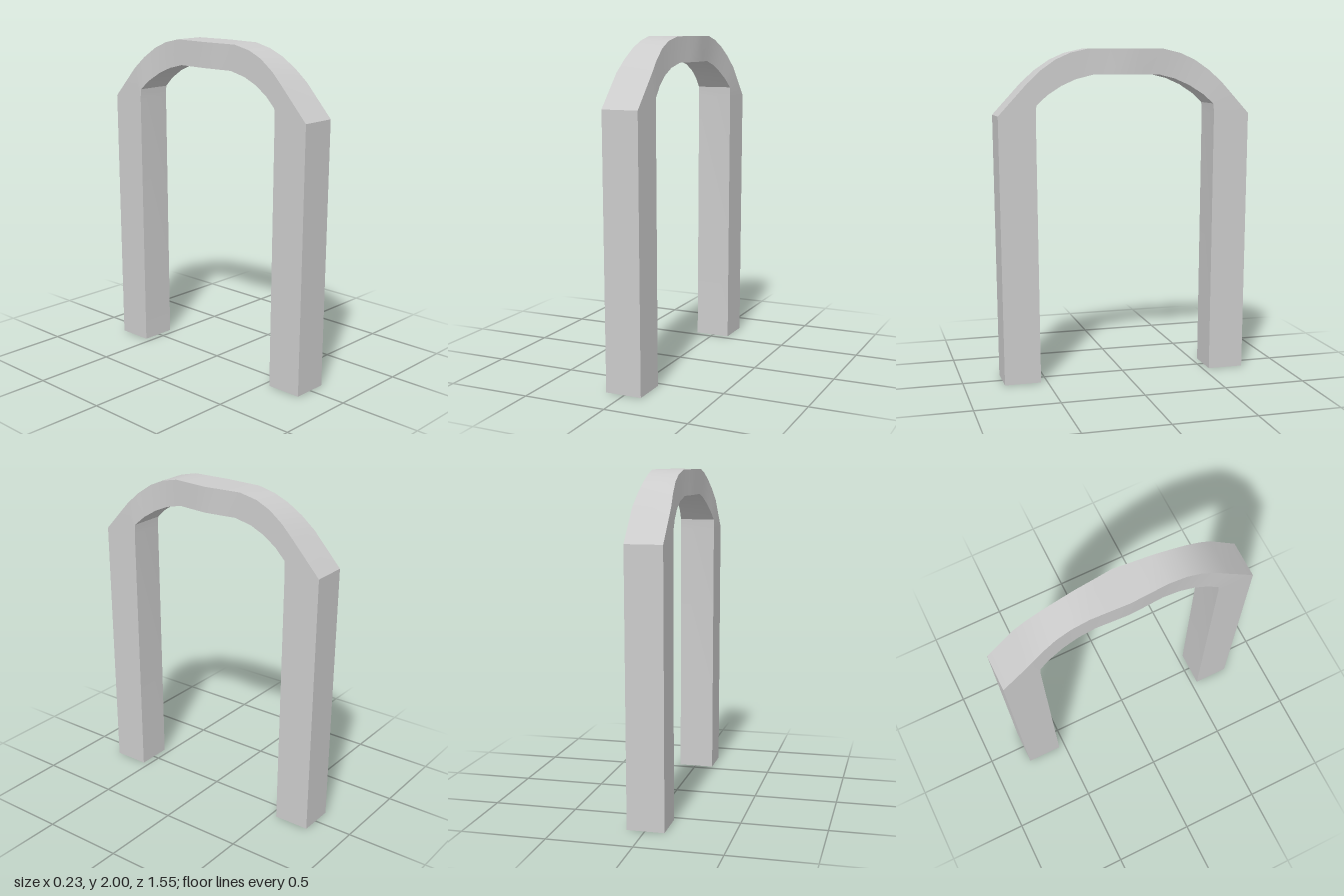
import * as THREE from 'three';
import { toCreasedNormals } from 'three/addons/utils/BufferGeometryUtils.js';

// Half of the arch, foot to crown: [outer z, outer y, inner z, inner y, right x, left x]
const half = [
  [0.76, 0, 0.54, 0, -0.115, 0.105],
  [0.775, 1.61, 0.552, 1.61, -0.115, 0.105],
  [0.6, 1.8, 0.548, 1.67, -0.115, 0.105],
  [0.52, 1.873, 0.48, 1.73, -0.106, 0.096],
  [0.43, 1.935, 0.395, 1.783, -0.098, 0.088],
  [0.34, 1.975, 0.305, 1.822, -0.095, 0.085],
  [0.23, 2, 0.2, 1.848, -0.097, 0.09],
  [0.1, 2, 0.1, 1.848, -0.103, 0.102],
  [0, 2, 0, 1.848, -0.108, 0.112],
];

// Rectangular tube through the cross-sections, open at both ends
function sweep(sections) {
  const rings = sections.map(([oz, oy, iz, iy, right, left]) => [
    [left, oy, oz], [right, oy, oz], [right, iy, iz], [left, iy, iz],
  ]);
  const positions = [];
  for (let s = 0; s < rings.length - 1; s++) {
    for (let k = 0; k < 4; k++) {
      const n = (k + 1) % 4;
      const a = rings[s][k], b = rings[s][n];
      const c = rings[s + 1][n], d = rings[s + 1][k];
      positions.push(...a, ...d, ...c, ...a, ...c, ...b);
    }
  }
  const geometry = new THREE.BufferGeometry();
  geometry.setAttribute('position', new THREE.Float32BufferAttribute(positions, 3));
  return toCreasedNormals(geometry, THREE.MathUtils.degToRad(32));
}

export function createModel() {
  const group = new THREE.Group();
  group.name = 'archway';
  const material = new THREE.MeshStandardMaterial({ color: 0xcccccc, side: THREE.DoubleSide });

  // Mirror the half front to back and run one continuous frame
  const back = half.slice(0, -1).reverse()
    .map(([oz, oy, iz, iy, right, left]) => [-oz, oy, -iz, iy, right, left]);
  const frame = new THREE.Mesh(sweep([...half, ...back]), material);
  frame.name = 'archFrame';
  group.add(frame);
  return group;
}
